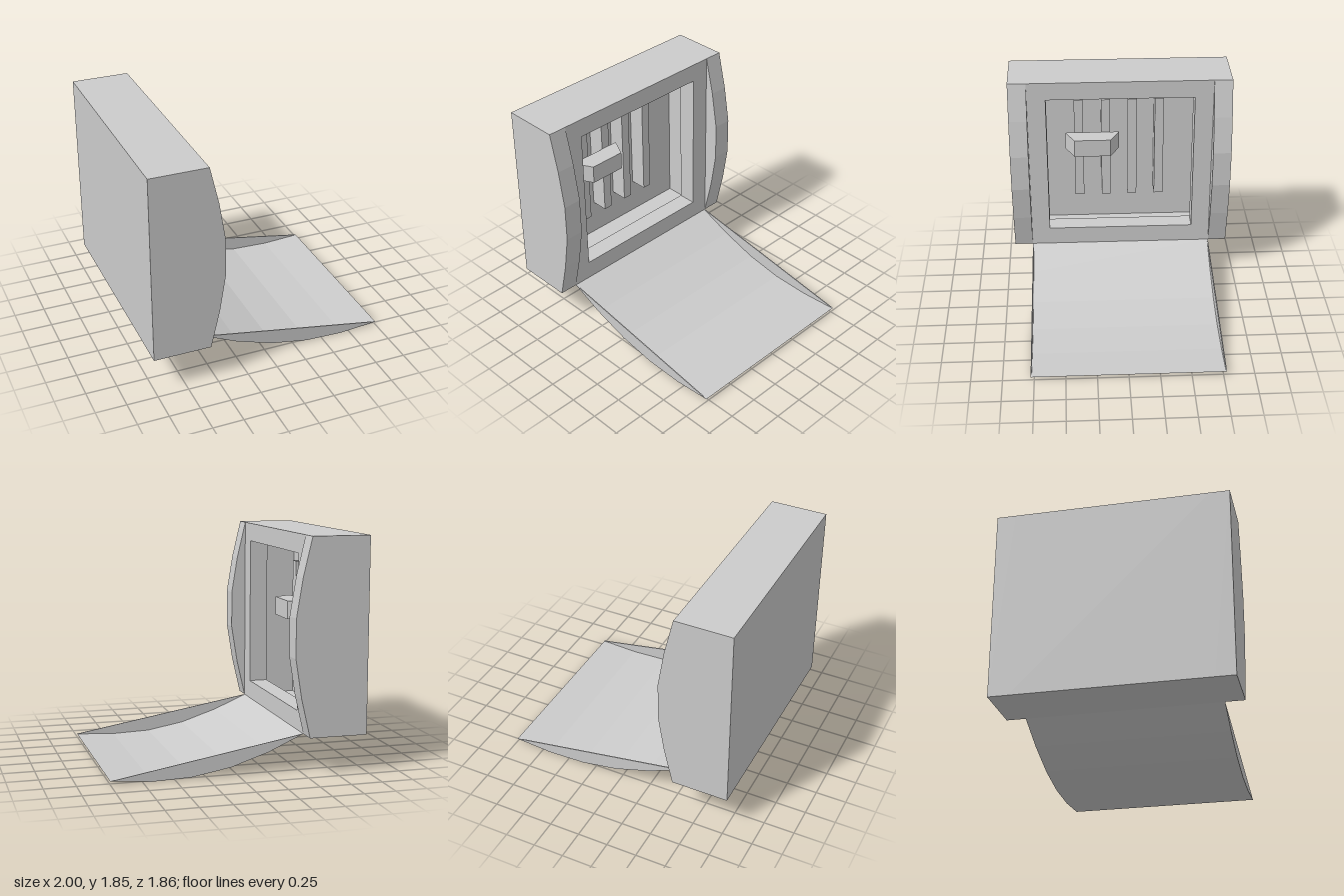
import * as THREE from 'three';

export function createModel() {
  const root = new THREE.Group();
  const grey = new THREE.MeshStandardMaterial({ color: 0xcccccc });
  grey.name = 'light grey';

  const add = (name, geometry) => {
    const mesh = new THREE.Mesh(geometry, grey);
    mesh.name = name;
    root.add(mesh);
    return mesh;
  };
  // box given by its limits on each axis
  const box = (name, [x0, x1], [y0, y1], [z0, z1]) =>
    add(name, new THREE.BoxGeometry(x1 - x0, y1 - y0, z1 - z0)
      .translate((x0 + x1) / 2, (y0 + y1) / 2, (z0 + z1) / 2));
  const outline = (pts) => new THREE.Shape(pts.map(([x, y]) => new THREE.Vector2(x, y)));
  // side profile in x and y, extruded from z0 to z1
  const prism = (name, pts, z0, z1) =>
    add(name, new THREE.ExtrudeGeometry(outline(pts), { depth: z1 - z0, bevelEnabled: false })
      .translate(0, 0, z0));

  const back = -1, front = -0.533, low = 0.297, high = 1.85;
  const inner = 0.778, outer = 0.932, unit = 0.155, skin = 0.008;

  // thin shell of the cabinet
  box('backWall', [back, back + skin], [low, high], [-inner, inner]);
  box('topWall', [back, front - unit], [high - skin, high], [-inner, inner]);
  box('bottomWall', [back, front - unit], [low, low + skin], [-inner, inner]);

  // solid side cheeks with a bowed front edge
  const cheek = [[back, low], [front, low], [-0.46, 0.61], [-0.41, 0.92],
    [-0.41, 1.23], [-0.46, 1.54], [front, high], [back, high]];
  prism('leftCheek', cheek, inner, outer);
  prism('rightCheek', cheek, -outer, -inner);

  // front frame with a square opening
  const frame = outline([[-inner, low], [inner, low], [inner, high], [-inner, high]]);
  frame.holes.push(outline([[-0.622, 0.452], [-0.622, 1.697], [0.622, 1.697], [0.622, 0.452]]));
  add('frontFrame', new THREE.ExtrudeGeometry(frame, { depth: unit, bevelEnabled: false })
    .rotateY(Math.PI / 2).translate(front - unit, 0, 0));

  // four upright rails on the back wall
  const railFront = back + unit;
  for (const z of [-0.35, -0.115, 0.115, 0.35])
    box('rail', [back + skin, railFront], [0.61, 1.54], [z - 0.039, z + 0.039]);

  // tapered switch handle across one pair of rails
  const handle = outline([[0, railFront], [0.467, railFront],
    [0.39, railFront + unit], [0.078, railFront + unit]].map(([z, x]) => [-z, x]));
  add('switchHandle', new THREE.ExtrudeGeometry(handle, { depth: unit, bevelEnabled: false })
    // shape x becomes -z, shape y becomes x, depth becomes -y
    .applyMatrix4(new THREE.Matrix4().set(
      0, 1, 0, 0,
      0, 0, -1, 1.23,
      -1, 0, 0, 0,
      0, 0, 0, 1)));

  // open lid: a curved sheet closed by a thin cap at each end
  const curve = [[front, low], [-0.25, 0.17], [0.055, 0.07], [0.365, 0.015], [0.68, 0.004], [1, 0.03]];
  const inside = curve.slice(1, -1).reverse().map(([x, y]) => [x, y + skin]);
  prism('lidSheet', [...curve, ...inside], -inner, inner);
  prism('lidLeftCap', curve, inner - skin, inner);
  prism('lidRightCap', curve, -inner, -inner + skin);

  return root;
}
